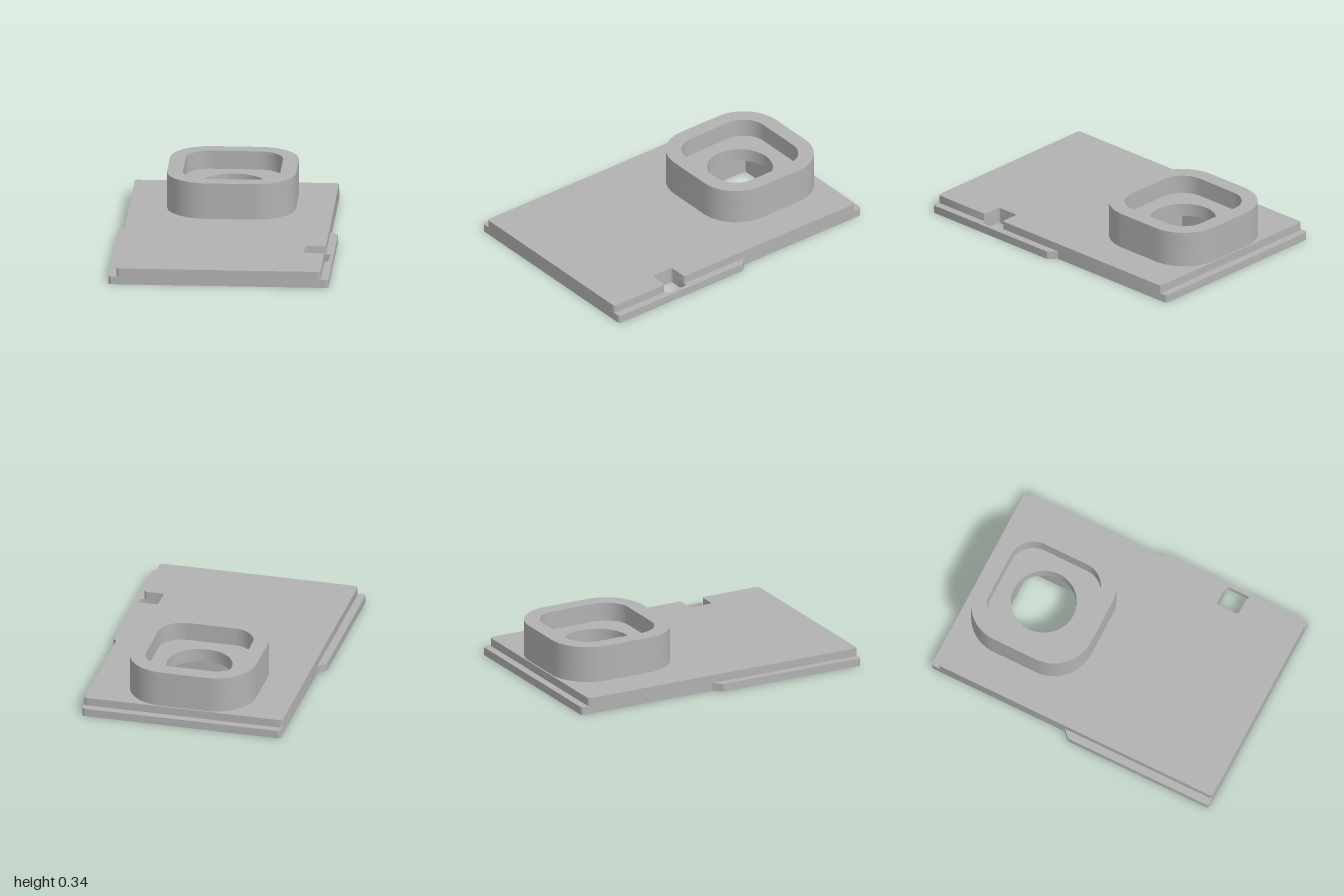
import * as THREE from 'three';
import { toCreasedNormals } from 'three/addons/utils/BufferGeometryUtils.js';

const MOUNT_Z = -0.53;

// Closed outline from [x, z, radius] corners; every corner is rounded by its radius.
function outline(corners, Type = THREE.Shape) {
  const path = new Type();
  const n = corners.length;
  const points = corners.map(([x, z]) => new THREE.Vector2(x, -z));
  points.forEach((p, i) => {
    const r = corners[i][2] || 0;
    const toPrev = points[(i + n - 1) % n].clone().sub(p).normalize();
    const toNext = points[(i + 1) % n].clone().sub(p).normalize();
    const a = p.clone().addScaledVector(toPrev, r);
    const b = p.clone().addScaledVector(toNext, r);
    if (i === 0) path.moveTo(a.x, a.y);
    else path.lineTo(a.x, a.y);
    if (r > 0) {
      // right-angle corner: circular arc as a cubic curve
      const k = r * 0.4477;
      const c1 = p.clone().addScaledVector(toPrev, k);
      const c2 = p.clone().addScaledVector(toNext, k);
      path.bezierCurveTo(c1.x, c1.y, c2.x, c2.y, b.x, b.y);
    }
  });
  path.closePath();
  return path;
}

// Rectangle spanning x0..x1 and z0..z1 with rounded corners
function rect(x0, x1, z0, z1, r, Type) {
  return outline([[x0, z1, r], [x1, z1, r], [x1, z0, r], [x0, z0, r]], Type);
}

const mountSquare = (half, r, Type) =>
  rect(-half, half, MOUNT_Z - half, MOUNT_Z + half, r, Type);

export function createModel() {
  const model = new THREE.Group();
  model.name = 'mountingPlate';
  const grey = new THREE.MeshStandardMaterial({ color: 0xb2b2b2 });
  grey.name = 'plain grey';

  // Horizontal slab between two heights
  function addSlab(name, shape, holes, y0, y1) {
    shape.holes.push(...holes);
    const geometry = new THREE.ExtrudeGeometry(shape, {
      depth: y1 - y0, bevelEnabled: false, curveSegments: 16,
    });
    geometry.rotateX(-Math.PI / 2).translate(0, y0, 0);
    const mesh = new THREE.Mesh(toCreasedNormals(geometry, 0.6), grey);
    mesh.name = name;
    model.add(mesh);
  }

  const squareHole = () => mountSquare(0.21, 0, THREE.Path);
  const roundHole = new THREE.Path();
  roundHole.absarc(0, -MOUNT_Z, 0.21, 0, Math.PI * 2, true);

  // Lower plate: side rails on the front half, ending in a chamfer
  const lower = outline([
    [-0.7, 1, 0.02], [0.7, 1, 0.02], [0.7, 0], [0.65, -0.05],
    [0.65, -1, 0.02], [-0.65, -1, 0.02], [-0.65, -0.05], [-0.7, 0],
  ]);
  const slot = rect(0.52, 0.675, 0.435, 0.59, 0.015, THREE.Path);
  addSlab('lowerPlate', lower, [slot, squareHole()], 0, 0.052);

  // Upper plate: the slot opens through its side edge
  const upper = outline([
    [-0.65, 1, 0.02], [0.65, 1, 0.02],
    [0.65, 0.59, 0.018], [0.52, 0.59, 0.015], [0.52, 0.435, 0.015], [0.65, 0.435, 0.018],
    [0.65, -0.95, 0.02], [-0.65, -0.95, 0.02],
  ]);
  addSlab('upperPlate', upper, [squareHole()], 0.052, 0.105);

  // Raised mount: square pocket below, round opening, rounded recess on top
  addSlab('mountBase', mountSquare(0.41, 0.26), [squareHole()], 0.105, 0.135);
  addSlab('mountFloor', mountSquare(0.41, 0.26), [roundHole], 0.135, 0.22);
  addSlab('mountRim', mountSquare(0.41, 0.26), [mountSquare(0.31, 0.16, THREE.Path)], 0.22, 0.34);

  return model;
}
